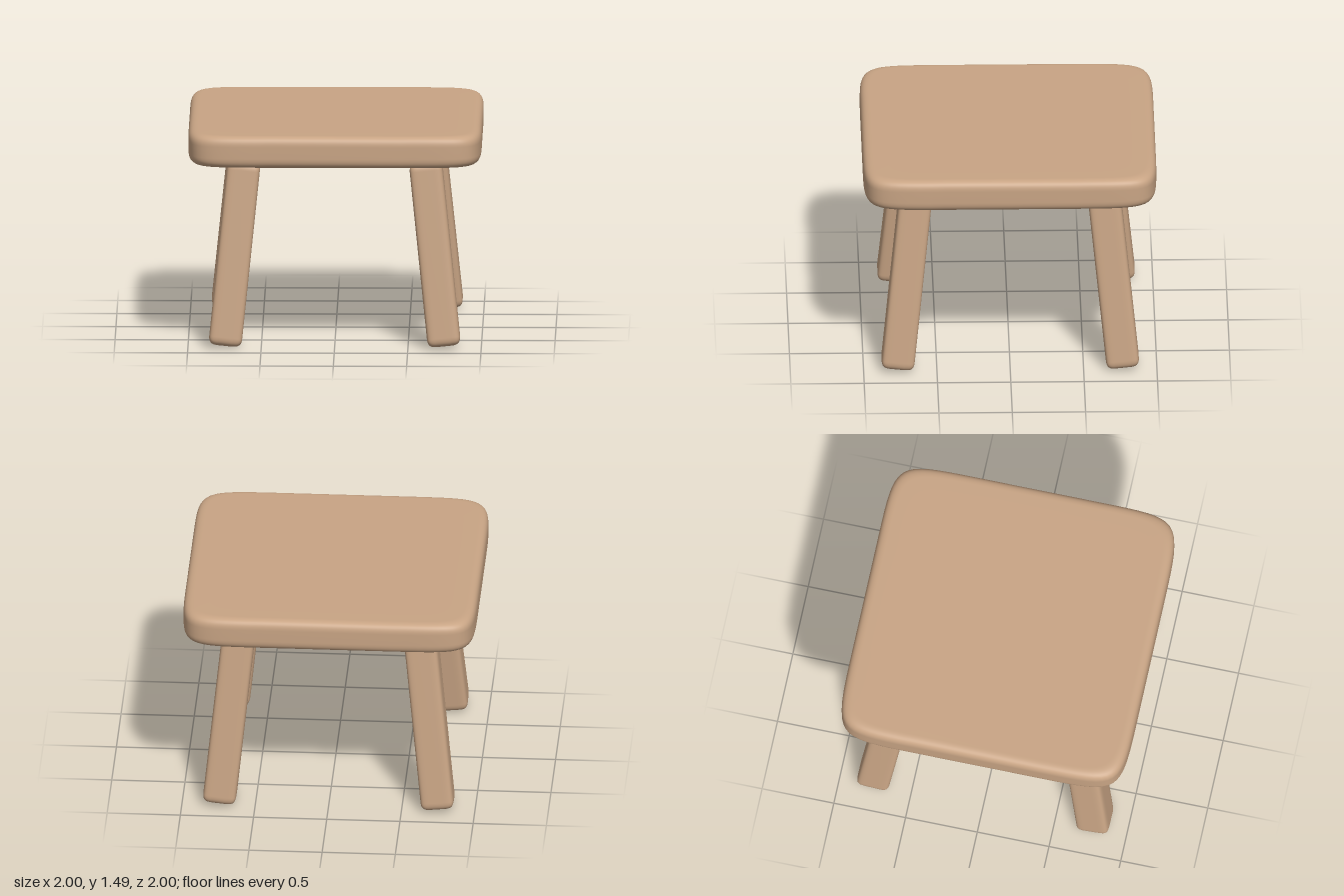
import * as THREE from 'three';
import { mergeVertices } from 'three/addons/utils/BufferGeometryUtils.js';

const wood = new THREE.MeshStandardMaterial({ color: 0xc8a484 });

// Soft corner from (start, end) to (end, start), bulging towards (end, end).
const corner = (start, tight, n) => new THREE.CubicBezierCurve(
  new THREE.Vector2(start, 1), new THREE.Vector2(tight, 1),
  new THREE.Vector2(1, tight), new THREE.Vector2(1, start)).getPoints(n);

// Square pillow-edged block: a lathe whose circular rings are remapped to a soft square.
function softBlock(half, halfHeight, bevel, start, tight) {
  const ring = [];
  for (let k = 0; k < 4; k++) {
    for (const p of corner(start, tight, 16)) {
      let [x, z] = [p.x, p.y];
      for (let q = 0; q < k; q++) [x, z] = [z, -x];
      ring.push([x * half, z * half]);
    }
  }
  ring.push(ring[0]);

  // profile from bottom centre to top centre, radius 1 = full outline
  const inset = bevel / half;
  const edge = corner(0, 0.7, 10).map(p => new THREE.Vector2(
    1 - inset + inset * p.x, halfHeight - bevel + bevel * p.y));
  const top = [new THREE.Vector2(0, halfHeight),
    new THREE.Vector2((1 - inset) * 0.9, halfHeight), ...edge];
  const bottom = top.map(p => new THREE.Vector2(p.x, -p.y));
  const profile = [...bottom, ...top.reverse()];

  const geo = new THREE.LatheGeometry(profile, ring.length - 1);
  const pos = geo.attributes.position;
  for (let i = 0; i < pos.count; i++) {
    const [x, z] = ring[Math.floor(i / profile.length)];
    const r = profile[i % profile.length].x;
    pos.setXYZ(i, x * r, pos.getY(i), z * r);
  }
  geo.deleteAttribute('normal');
  geo.deleteAttribute('uv');
  const merged = mergeVertices(geo, 1e-5);
  merged.computeVertexNormals();
  return merged;
}

export function createModel() {
  const group = new THREE.Group();

  // Seat slab
  const seat = new THREE.Mesh(softBlock(1, 0.11, 0.07, 0.45, 1), wood);
  seat.name = 'seat';
  seat.position.y = 1.386;
  group.add(seat);

  // Four splayed legs
  const legGeo = softBlock(0.113, 0.633, 0.06, 0.42, 0.92);
  const up = new THREE.Vector3(0, 1, 0);
  for (const sx of [-1, 1]) {
    for (const sz of [-1, 1]) {
      const leg = new THREE.Mesh(legGeo, wood);
      leg.name = (sz > 0 ? 'front' : 'back') + (sx > 0 ? 'Left' : 'Right') + 'Leg';
      leg.position.set(sx * 0.683, 0.641, sz * 0.705);
      const axis = new THREE.Vector3(-sx * 0.104, 1, -sz * 0.104).normalize();
      leg.quaternion.setFromUnitVectors(up, axis);
      group.add(leg);
    }
  }
  return group;
}
